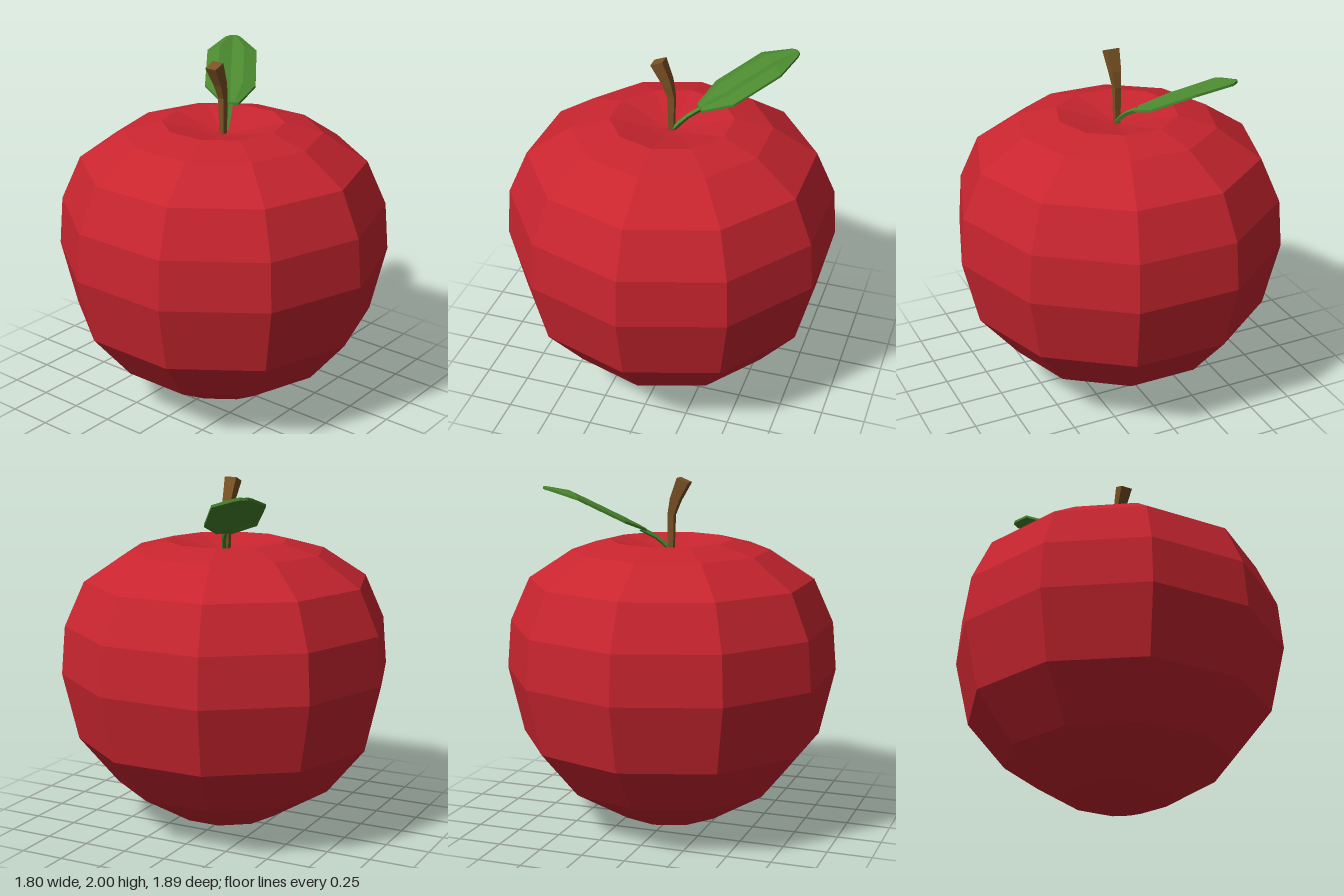
import * as THREE from 'three';

const V = (x, y, z) => new THREE.Vector3(x, y, z);

// Solid skin through rings of points, with both ends capped.
// Each ring runs counter-clockwise as seen from the last ring's end.
function loft(rings) {
  const n = rings[0].length;
  const pos = rings.flat().flatMap((p) => [p.x, p.y, p.z]);
  const index = [];
  for (let r = 0; r < rings.length - 1; r++) {
    for (let i = 0; i < n; i++) {
      const a = r * n + i, b = r * n + ((i + 1) % n);
      index.push(a, b, b + n, a, b + n, a + n);
    }
  }
  const end = (rings.length - 1) * n;
  for (let i = 1; i < n - 1; i++) {
    index.push(0, i + 1, i, end, end + i, end + i + 1);
  }
  const geo = new THREE.BufferGeometry();
  geo.setAttribute('position', new THREE.Float32BufferAttribute(pos, 3));
  geo.setIndex(index);
  geo.computeVertexNormals();
  return geo;
}

export function createModel() {
  const mat = (name, color) => {
    const m = new THREE.MeshStandardMaterial({ color, flatShading: true });
    m.name = name;
    return m;
  };
  const red = mat('apple red', 0xc8252f);
  const brown = mat('stem brown', 0x7a5224);
  const green = mat('leaf green', 0x4a882f);

  const group = new THREE.Group();
  group.name = 'apple';
  const add = (name, geo, material) => {
    const mesh = new THREE.Mesh(geo, material);
    mesh.name = name;
    group.add(mesh);
  };

  // Ten-sided fruit with a shallow hollow at the top
  const profile = [
    [0, 0], [0.15, 0], [0.305, 0.055], [0.636, 0.255], [0.857, 0.525],
    [0.945, 0.905], [0.922, 1.18], [0.81, 1.43], [0.56, 1.595],
    [0.345, 1.65], [0.12, 1.6], [0, 1.58],
  ].map(([r, y]) => new THREE.Vector2(r, y));
  add('fruit', new THREE.LatheGeometry(profile, 10), red);

  // Square stem that widens and bends towards -x: centre x, y, half width, tilt
  const stem = [
    [0, 1.57, 0.015, 0], [-0.002, 1.79, 0.019, 0.08],
    [-0.026, 1.875, 0.027, 0.25], [-0.077, 1.987, 0.036, 0.37],
  ];
  const corners = [[1, 1], [1, -1], [-1, -1], [-1, 1]];
  add('stem', loft(stem.map(([x, y, w, t]) => corners.map(([sx, sz]) =>
    V(x + sx * w * Math.cos(t), y + sx * w * Math.sin(t), sz * w)))), brown);

  // Leaf stalk
  const stalk = new THREE.CatmullRomCurve3([
    V(0.015, 1.595, 0.01), V(0.07, 1.655, -0.015), V(0.16, 1.712, -0.07),
  ]);
  add('leafStalk', new THREE.TubeGeometry(stalk, 4, 0.014, 4), green);

  // Thin leaf blade, folded along its middle: centre x, y, z, half width, fold height
  const blade = [
    [0.14, 1.708, -0.055, 0.042, 0.004], [0.255, 1.77, -0.152, 0.145, 0.022],
    [0.47, 1.905, -0.31, 0.144, 0.022], [0.582, 1.952, -0.392, 0.045, 0.006],
    [0.597, 1.956, -0.4, 0.022, 0.003],
  ];
  const across = [-1, -0.5, 0, 0.5, 1];
  const thick = 0.014;
  add('leaf', loft(blade.map(([x, y, z, w, fold]) => {
    const point = (s, dy) => V(x + 0.59 * s * w,
      y + dy + (Math.abs(s) === 0.5 ? fold : 0), z + 0.81 * s * w);
    return [
      ...across.map((s) => point(s, thick / 2)),
      ...[...across].reverse().map((s) => point(s, -thick / 2)),
    ];
  })), green);

  return group;
}
